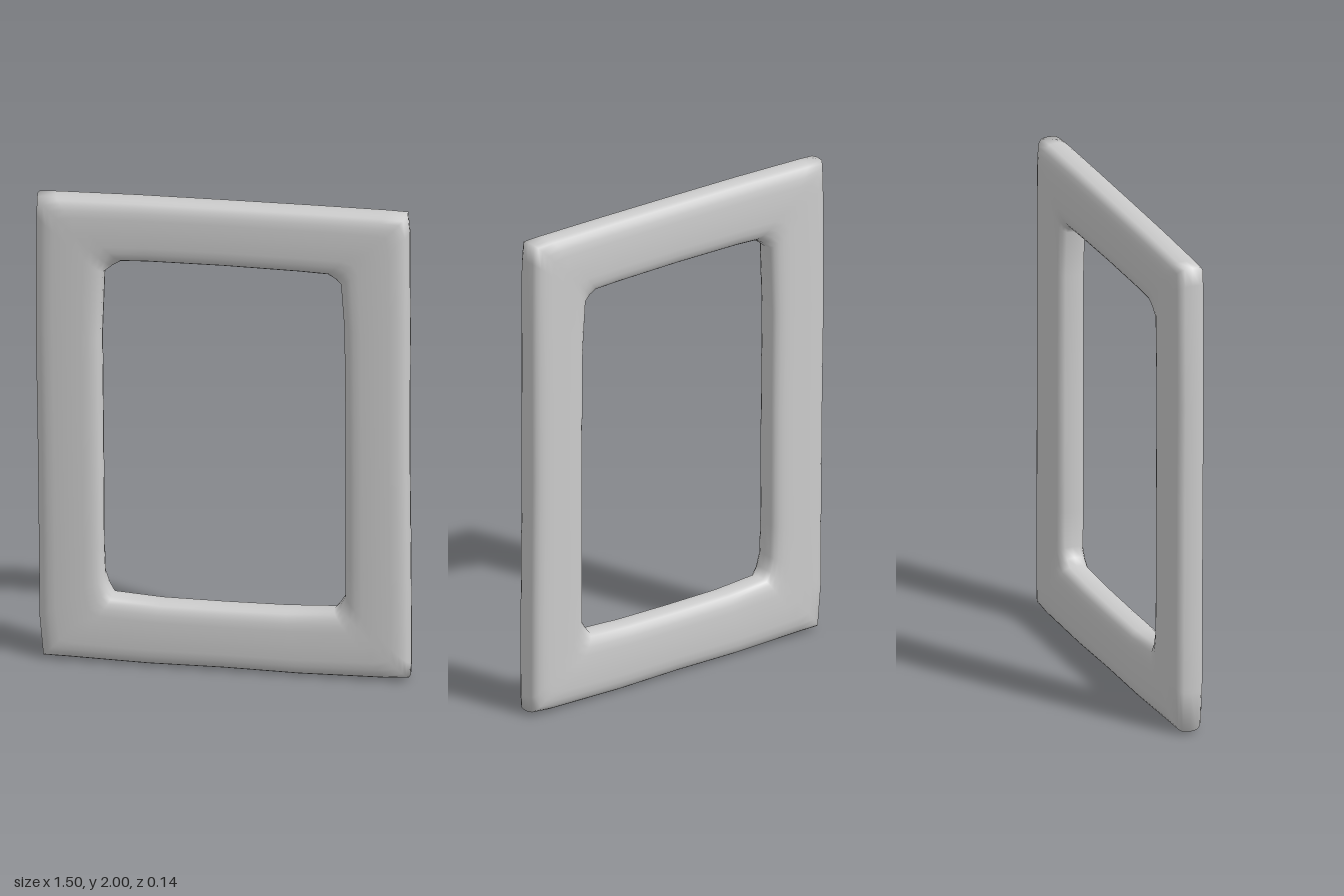
import * as THREE from 'three';

// Stations around the frame, counter-clockwise from the front:
// outer x, outer y, inner x, inner y
const STATIONS = [
  [0.745, 0.08, 0.485, 0.35], [0.743, 0.45, 0.485, 0.5], [0.738, 1.0, 0.485, 1.0], [0.74, 1.5, 0.48, 1.5],
  [0.738, 1.92, 0.466, 1.69], [0.73, 1.998, 0.445, 1.71], [0.65, 2.0, 0.415, 1.728],
  [0.35, 2.0, 0.3, 1.732], [0, 1.998, 0, 1.735], [-0.35, 1.995, -0.3, 1.732],
  [-0.67, 1.988, -0.405, 1.727], [-0.745, 1.985, -0.44, 1.705], [-0.748, 1.91, -0.477, 1.675],
  [-0.75, 1.4, -0.487, 1.4], [-0.743, 1.0, -0.483, 1.0], [-0.737, 0.45, -0.48, 0.5],
  [-0.735, 0.18, -0.475, 0.37], [-0.72, 0.012, -0.458, 0.32], [-0.63, 0.012, -0.44, 0.286],
  [-0.3, 0.005, -0.25, 0.273], [0, 0.008, 0, 0.272], [0.3, 0.004, 0.25, 0.275],
  [0.65, 0.01, 0.44, 0.285], [0.742, 0.018, 0.462, 0.312],
];
const SIDES = 24;
const HALF_DEPTH = 0.069;

// Rounded-box curve used for the bar's cross-section
const soften = (v, power) => Math.sign(v) * Math.abs(v) ** power;

function frameGeometry() {
  const positions = [], index = [], n = STATIONS.length;
  STATIONS.forEach(([ox, oy, ix, iy], i) => {
    for (let j = 0; j < SIDES; j++) {
      const a = (j / SIDES) * Math.PI * 2;
      const t = 0.5 + 0.5 * soften(Math.cos(a), 0.6); // 0 inner edge, 1 outer edge
      positions.push(ix + (ox - ix) * t, iy + (oy - iy) * t, HALF_DEPTH * soften(Math.sin(a), 0.6));
      const k = (j + 1) % SIDES, next = ((i + 1) % n) * SIDES, here = i * SIDES;
      index.push(here + j, next + j, next + k, here + j, next + k, here + k);
    }
  });
  const geometry = new THREE.BufferGeometry();
  geometry.setAttribute('position', new THREE.Float32BufferAttribute(positions, 3));
  geometry.setIndex(index);
  geometry.computeVertexNormals();
  return geometry;
}

export function createModel() {
  const group = new THREE.Group();
  // One continuous soft-edged rectangular frame
  const frame = new THREE.Mesh(frameGeometry(), new THREE.MeshStandardMaterial({ color: 0xcccccc }));
  frame.name = 'frame';
  group.add(frame);
  return group;
}
